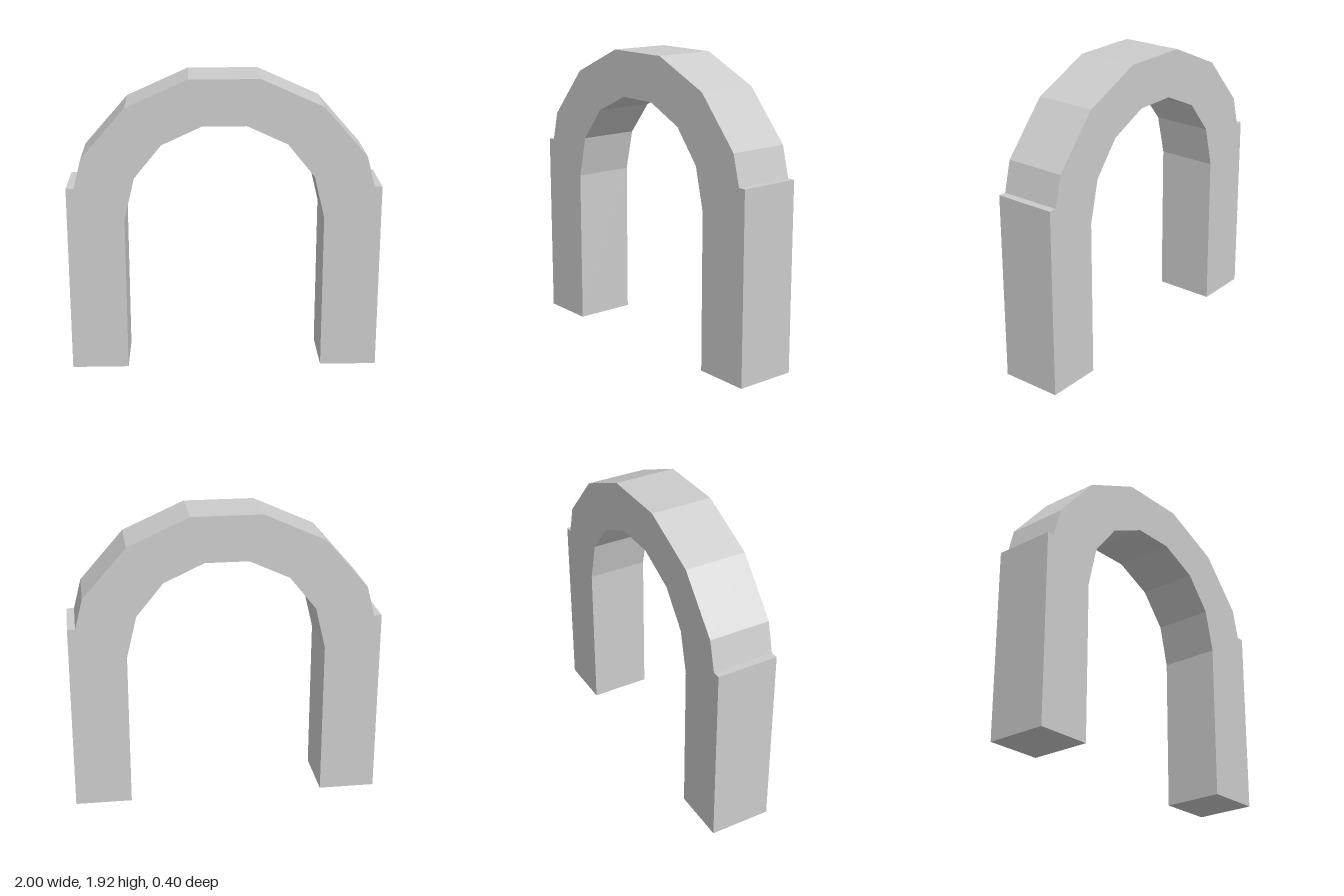
import * as THREE from 'three';

const DEPTH = 0.4;

// Right half of the arch profile, from the foot up to the crown
const OUTER = [[1, 0], [1, 1.225], [0.95, 1.225], [0.9, 1.42], [0.62, 1.74], [0.225, 1.917]];
const INNER = [[0.635, 0], [0.635, 1.02], [0.57, 1.29], [0.397, 1.503], [0.14, 1.622]];

const mirror = (points) => points.map(([x, y]) => [-x, y]);

export function createModel() {
  const group = new THREE.Group();
  group.name = 'archway';

  // Over the outside, then back along the underside
  const outline = [
    ...OUTER, ...mirror(OUTER).reverse(),
    ...mirror(INNER), ...[...INNER].reverse(),
  ];
  const shape = new THREE.Shape(outline.map(([x, y]) => new THREE.Vector2(x, y)));
  const geometry = new THREE.ExtrudeGeometry(shape, { depth: DEPTH, bevelEnabled: false });
  geometry.translate(0, 0, -DEPTH / 2);

  // Pillars and faceted arch form one solid block
  const arch = new THREE.Mesh(
    geometry,
    new THREE.MeshStandardMaterial({ color: 0xcccccc, flatShading: true }),
  );
  arch.name = 'arch';
  group.add(arch);
  return group;
}
